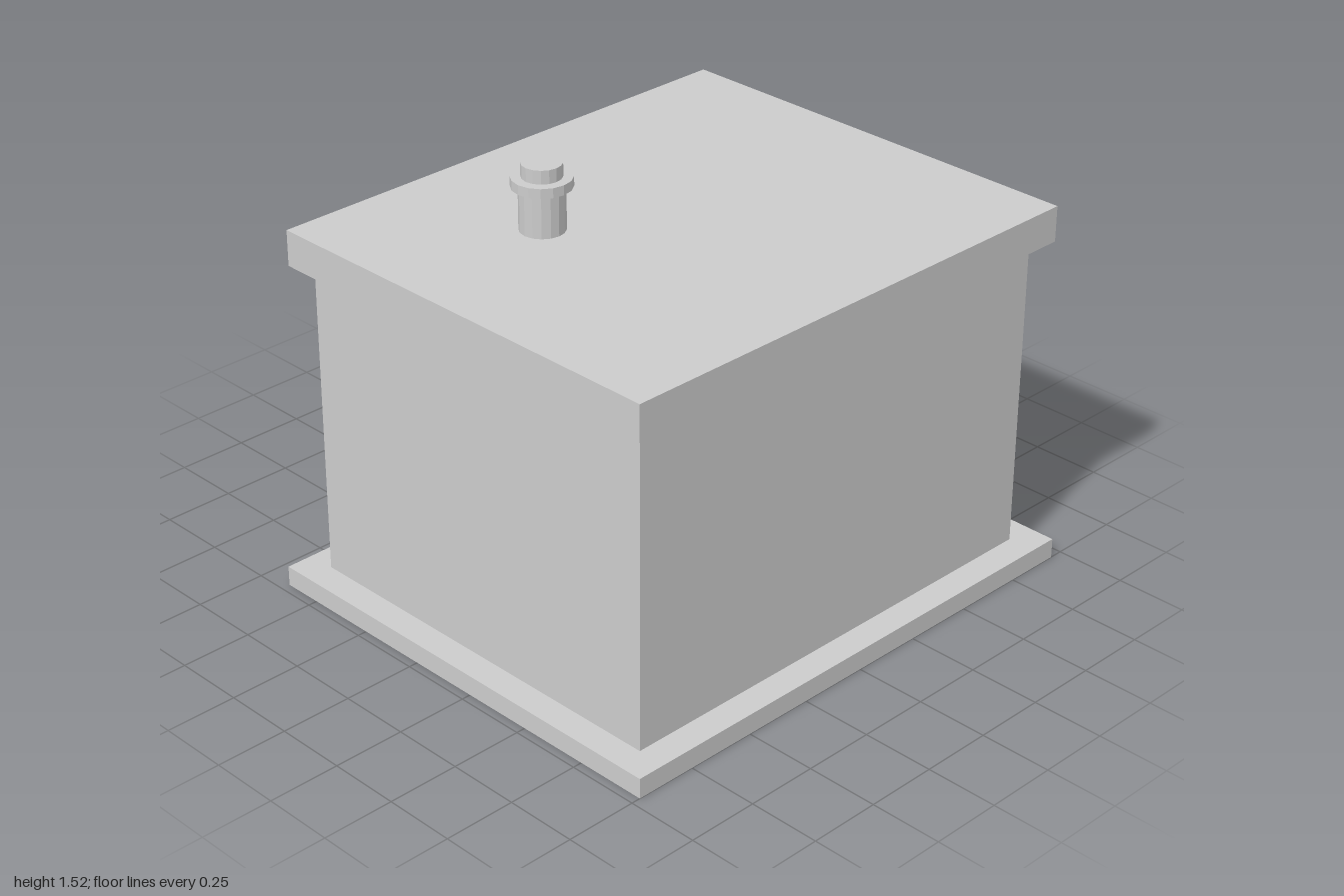
import * as THREE from 'three';

const material = new THREE.MeshStandardMaterial({ color: 0xcccccc, flatShading: true });

export function createModel() {
  const model = new THREE.Group();
  model.name = 'utilityHut';

  const add = (name, geometry, parent = model) => {
    const mesh = new THREE.Mesh(geometry, material);
    mesh.name = name;
    parent.add(mesh);
    return mesh;
  };

  // Box given by its extents on each axis
  const box = (name, [x0, x1], [y0, y1], [z0, z1]) =>
    add(name, new THREE.BoxGeometry(x1 - x0, y1 - y0, z1 - z0))
      .position.set((x0 + x1) / 2, (y0 + y1) / 2, (z0 + z1) / 2);

  // Building
  box('foundation', [-0.968, 0.952], [0, 0.07], [-0.64, 1]);
  box('walls', [-0.87, 0.85], [0.07, 1.167], [-0.54, 0.9]);
  box('roof', [-0.926, 0.908], [1.167, 1.29], [-0.598, 0.956]);

  // Electrical boxes on the left wall, standing just off it
  box('mainCabinet', [0.865, 0.965], [0.32, 0.752], [-0.18, 0.197]);
  box('meterBox', [0.865, 0.953], [0.307, 0.59], [0.427, 0.627]);

  // Chimney: pipe, collar and cap
  const chimney = new THREE.Group();
  chimney.name = 'chimney';
  chimney.position.set(-0.356, 0, -0.052);
  model.add(chimney);
  for (const [name, radius, y0, y1] of [
    ['chimneyPipe', 0.075, 1.29, 1.437],
    ['chimneyCollar', 0.099, 1.437, 1.47],
    ['chimneyCap', 0.066, 1.47, 1.516],
  ]) {
    add(name, new THREE.CylinderGeometry(radius, radius, y1 - y0, 16), chimney)
      .position.y = (y0 + y1) / 2;
  }

  // Three parallel cables rising toward the back
  const up = new THREE.Vector3(0, 1, 0);
  for (let i = 0; i < 3; i++) {
    const start = new THREE.Vector3(0.91, 0.755 + i * 0.033, 0.01);
    const end = new THREE.Vector3(0.91, 0.838 + i * 0.034, -1);
    const direction = end.clone().sub(start);
    const cable = add('cable' + (i + 1), new THREE.CylinderGeometry(0.008, 0.008, direction.length(), 8));
    cable.position.copy(start).add(end).multiplyScalar(0.5);
    cable.quaternion.setFromUnitVectors(up, direction.normalize());
  }

  return model;
}
